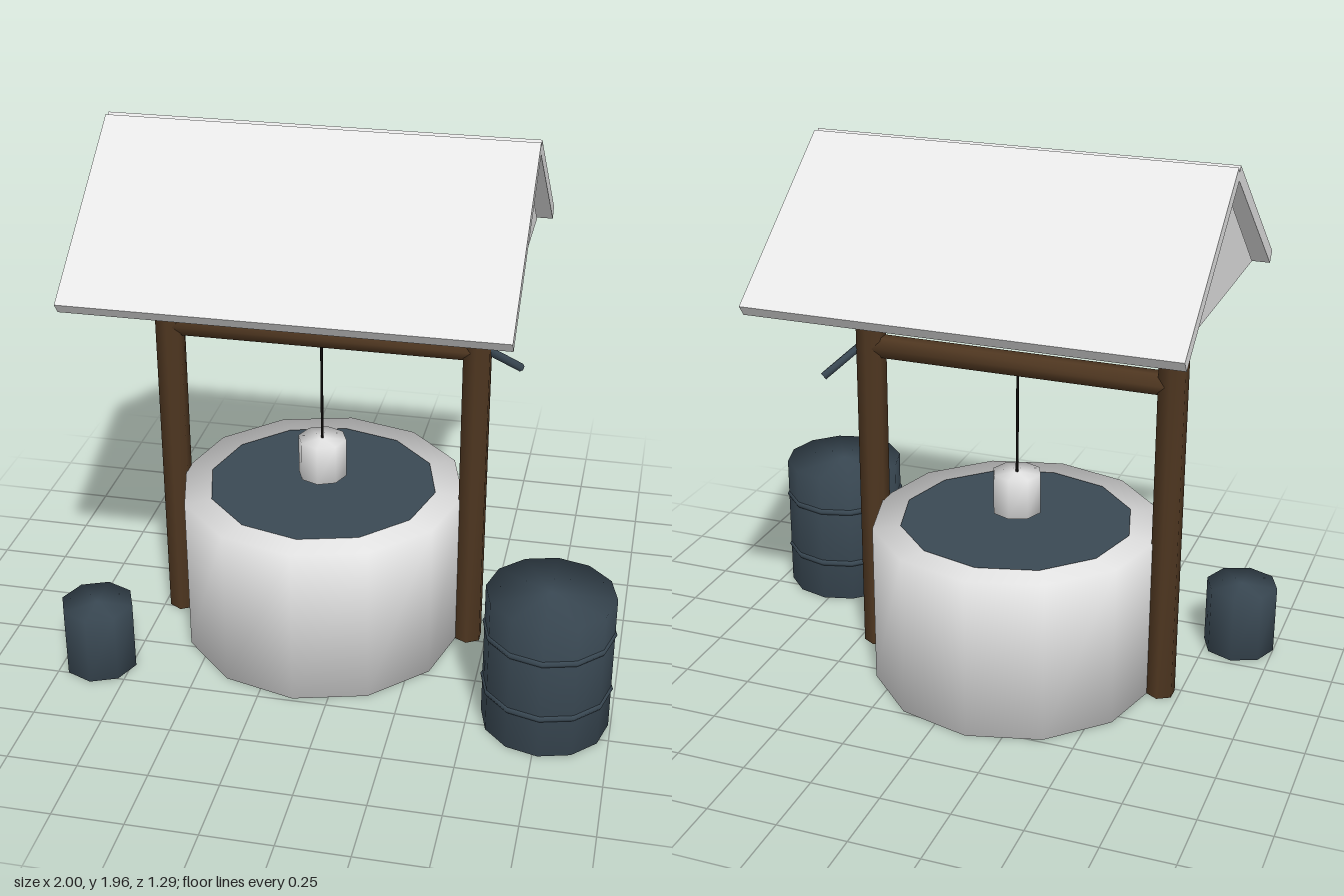
import * as THREE from 'three';
import { mergeVertices } from 'three/addons/utils/BufferGeometryUtils.js';

const CX = -0.125, CZ = -0.034; // centre of the well

function material(name, color, side = THREE.FrontSide) {
  const m = new THREE.MeshStandardMaterial({ color, side });
  m.name = name;
  return m;
}

export function createModel() {
  const group = new THREE.Group();
  const pale = material('pale stone', 0xe7e7e7);
  const paleSheet = material('pale sheet', 0xe7e7e7, THREE.DoubleSide);
  const steel = material('dark steel blue', 0x3a4954);
  const wood = material('dark wood', 0x4e3620);
  const cord = material('black cord', 0x0c0a08);

  const add = (name, geometry, mat, x = 0, y = 0, z = 0) => {
    const mesh = new THREE.Mesh(geometry, mat);
    mesh.name = name;
    mesh.position.set(x, y, z);
    group.add(mesh);
    return mesh;
  };

  // Closed cylinder whose normals are blended across the rims
  const softCylinder = (r, h, sides) => {
    const g = new THREE.CylinderGeometry(r, r, h, sides);
    g.deleteAttribute('uv');
    g.deleteAttribute('normal');
    const merged = mergeVertices(g, 1e-4);
    merged.computeVertexNormals();
    return merged;
  };
  const upright = (name, r, y0, y1, sides, mat, x, z) =>
    add(name, softCylinder(r, y1 - y0, sides), mat, x, (y0 + y1) / 2, z);
  const rod = (name, a, b, r, sides, mat) => {
    const dir = b.clone().sub(a);
    const mesh = add(name, softCylinder(r, dir.length(), sides), mat);
    mesh.position.copy(a).add(b).multiplyScalar(0.5);
    mesh.quaternion.setFromUnitVectors(new THREE.Vector3(0, 1, 0), dir.normalize());
    return mesh;
  };

  // Well drum and water
  upright('wellWall', 0.521, 0, 0.6, 12, pale, CX, CZ);
  const water = add('water', new THREE.CircleGeometry(0.42, 12), steel, CX, 0.604, CZ);
  water.rotation.x = -Math.PI / 2;

  // Posts, winding beam, axle and crank
  for (const s of [-1, 1]) {
    upright(s < 0 ? 'rightPost' : 'leftPost', 0.054, 0, 1.49, 6, wood, CX + s * 0.556, CZ);
  }
  const beam = add('windingBeam', softCylinder(0.043, 1.1, 6), wood, CX, 1.193, CZ);
  beam.rotation.z = Math.PI / 2;
  const axle = add('axle', softCylinder(0.013, 1.2, 6), steel, CX, 1.193, CZ);
  axle.rotation.z = Math.PI / 2;
  rod('crankHandle', new THREE.Vector3(0.465, 1.193, CZ),
    new THREE.Vector3(0.575, 1.088, -0.135), 0.015, 6, steel);

  // Rope and bucket
  upright('rope', 0.005, 0.78, 1.19, 6, cord, CX, CZ);
  upright('bucket', 0.089, 0.637, 0.785, 8, pale, CX, CZ);

  // Roof slabs, tilted away from the ridge
  for (const s of [-1, 1]) {
    const slab = add(s > 0 ? 'frontRoofSlab' : 'backRoofSlab',
      new THREE.BoxGeometry(1.483, 0.046, 0.747), pale, CX, 1.714, CZ + s * 0.299);
    slab.rotation.x = s * 0.647;
  }

  // Gable sheets under both roof ends
  const triangle = new THREE.Shape([
    new THREE.Vector2(-0.52, 1.49), new THREE.Vector2(0.52, 1.49), new THREE.Vector2(0, 1.907),
  ]);
  for (const s of [-1, 1]) {
    const gable = add(s < 0 ? 'rightGable' : 'leftGable',
      new THREE.ShapeGeometry(triangle), paleSheet, CX + s * 0.69, 0, CZ);
    gable.rotation.y = s * Math.PI / 2;
  }

  // Large barrel with two hoops, and a small tub
  upright('barrel', 0.224, 0, 0.52, 12, steel, 0.768, 0.41);
  for (const y of [0.155, 0.378]) {
    const hoop = add('barrelHoop', new THREE.TorusGeometry(0.218, 0.013, 6, 12), steel, 0.768, y, 0.41);
    hoop.rotation.x = Math.PI / 2;
  }
  upright('smallTub', 0.133, 0, 0.26, 8, steel, -0.867, 0.405);

  return group;
}
